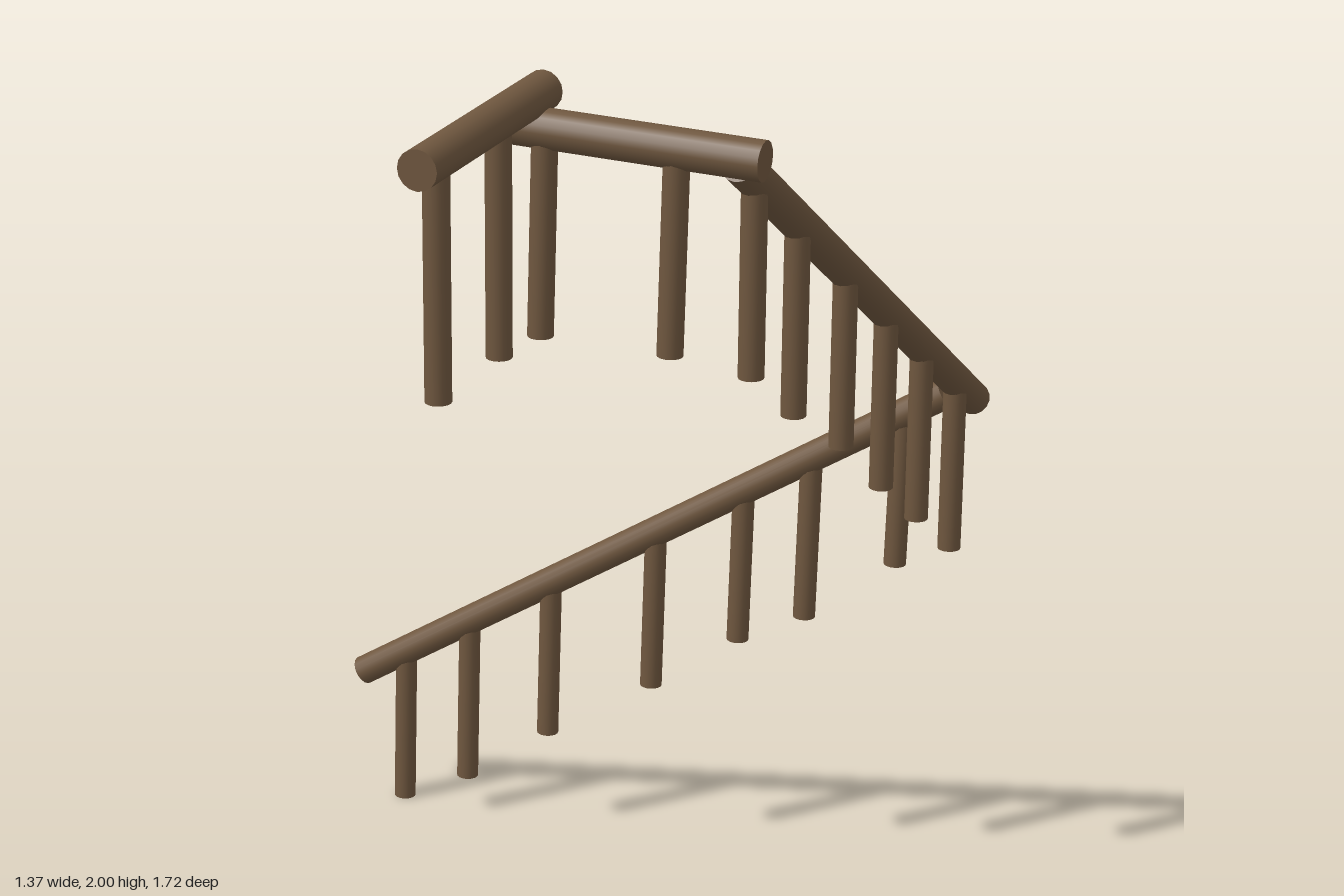
import * as THREE from 'three';

export function createModel() {
  const model = new THREE.Group();
  model.name = 'stairRailing';
  const wood = new THREE.MeshStandardMaterial({ color: 0x6f573f });
  wood.name = 'brownWood';
  const up = new THREE.Vector3(0, 1, 0);

  // Round log between two points
  function log(name, from, to, radius, parent) {
    const a = new THREE.Vector3(...from);
    const b = new THREE.Vector3(...to);
    const dir = b.clone().sub(a);
    const mesh = new THREE.Mesh(new THREE.CylinderGeometry(radius, radius, dir.length(), 16), wood);
    mesh.position.copy(a).add(b).multiplyScalar(0.5);
    mesh.quaternion.setFromUnitVectors(up, dir.normalize());
    mesh.name = name;
    parent.add(mesh);
  }

  // Handrail with slightly leaning posts; axis is the horizontal direction it runs along,
  // posts are [position along axis, foot height]
  function section({ name, from, to, radius, axis, posts, across, lean }) {
    const group = new THREE.Group();
    group.name = name;
    log('handrail', from, to, radius, group);
    for (const [s, foot] of posts) {
      const t = (s - from[axis]) / (to[axis] - from[axis]);
      const top = from[1] + t * (to[1] - from[1]);
      const a = axis === 0 ? [s, foot, across] : [across, foot, s];
      const b = [...a];
      b[1] = top;
      b[axis] += lean;
      log('post', a, b, 0.022, group);
    }
    model.add(group);
  }

  section({
    name: 'lowerFlight', axis: 0, across: -0.83, lean: 0.006, radius: 0.03,
    from: [-0.67, 0.27, -0.83], to: [0.585, 1.085, -0.83],
    posts: [[-0.576, 0], [-0.43, 0.075], [-0.247, 0.21], [-0.018, 0.36],
      [0.168, 0.495], [0.308, 0.57], [0.493, 0.715]],
  });
  section({
    name: 'upperFlight', axis: 2, across: 0.638, lean: 0.005, radius: 0.032,
    from: [0.636, 1.9, 0.425], to: [0.636, 1.08, -0.835],
    posts: [[0.353, 1.515], [0.15, 1.38], [-0.092, 1.24], [-0.312, 1.085],
      [-0.517, 0.95], [-0.72, 0.815]],
  });
  section({
    name: 'landingRail', axis: 0, across: 0.44, lean: 0.006, radius: 0.034,
    from: [0.225, 1.92, 0.437], to: [0.685, 1.912, 0.437],
    posts: [[0.3, 1.565], [0.53, 1.565]],
  });
  section({
    name: 'topRail', axis: 2, across: 0.282, lean: 0.005, radius: 0.034,
    from: [0.28, 1.963, 0.86], to: [0.28, 1.967, 0.388],
    posts: [[0.792, 1.565], [0.563, 1.565]],
  });
  return model;
}
